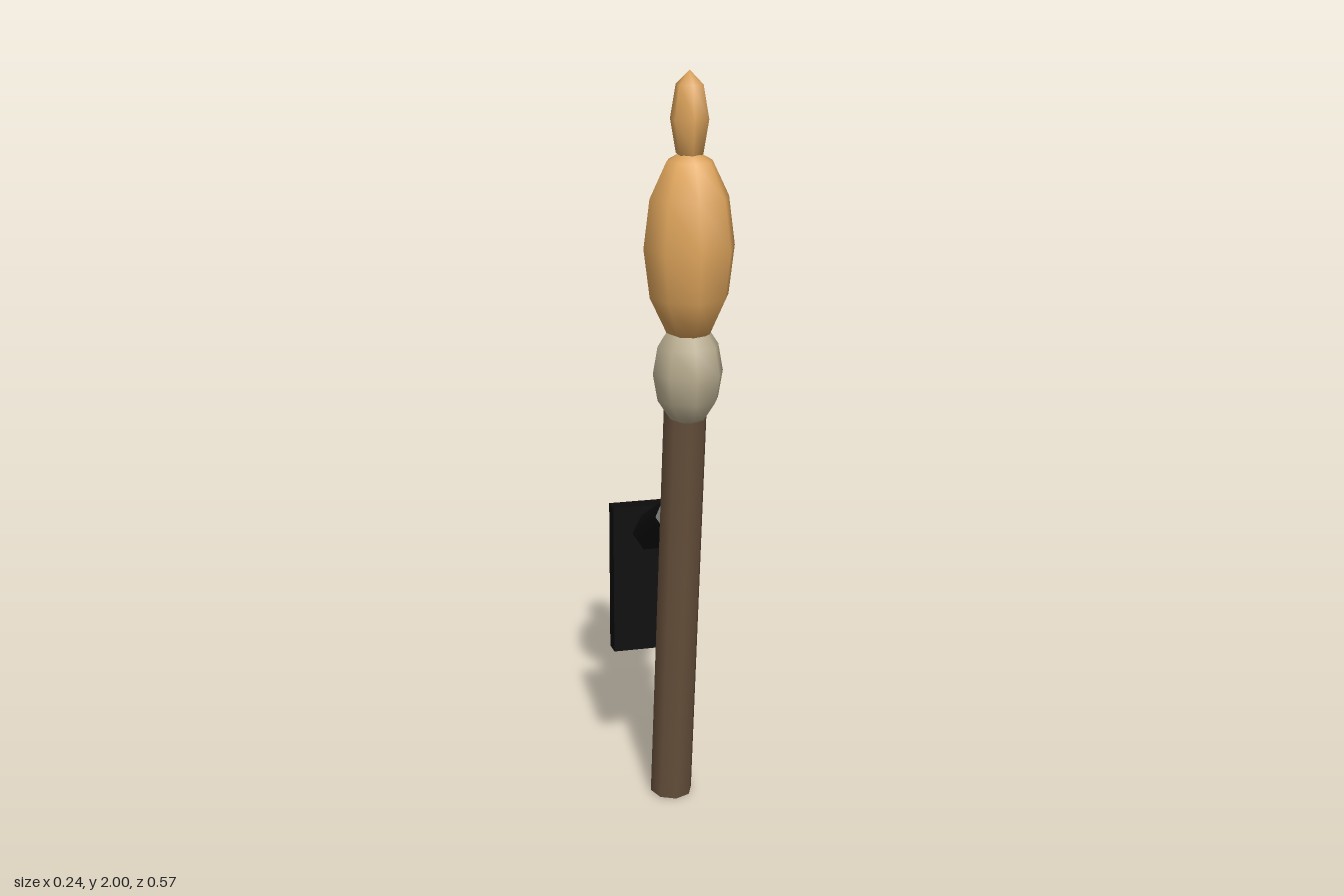
import * as THREE from 'three';

const mat = (name, color) => {
  const m = new THREE.MeshStandardMaterial({ color });
  m.name = name;
  return m;
};

export function createModel() {
  const wood = mat('dark wood', 0x69523d);
  const iron = mat('black iron', 0x0c0c0c);
  const ash = mat('pale wrap', 0xb9ad90);
  const flame = mat('flame orange', 0xdfa55c);
  const model = new THREE.Group();
  model.name = 'wallTorch';

  const add = (name, geometry, material) => {
    const mesh = new THREE.Mesh(geometry, material);
    mesh.name = name;
    model.add(mesh);
    return mesh;
  };

  // Straight rod between two points in the x = 0 plane, given as [y, z]
  const rod = (name, a, b, radius, sides, turn, material) => {
    const p = new THREE.Vector3(0, ...a), q = new THREE.Vector3(0, ...b);
    const dir = q.clone().sub(p);
    const geo = new THREE.CylinderGeometry(radius, radius, dir.length(), sides);
    geo.rotateY(turn);
    const mesh = add(name, geo, material);
    mesh.position.copy(p).add(q).multiplyScalar(0.5);
    mesh.rotation.x = Math.atan2(dir.z, dir.y);
  };

  // Low-poly stretched ball with a smooth surface
  const blob = (name, y, z, radius, halfHeight, sides, rings, turn, material) => {
    const geo = new THREE.SphereGeometry(1, sides, rings);
    geo.rotateY(turn);
    geo.scale(radius, halfHeight, radius);
    add(name, geo, material).position.set(0, y, z);
  };

  // Leaning handle
  rod('handle', [0.0075, -0.015], [1.156, 0.133], 0.057, 8, 0, wood);

  // Wall bracket: sloping arm and back plate
  rod('bracketArm', [0.68, -0.228], [0.81, 0.026], 0.053, 6, Math.PI / 2, iron);
  add('wallPlate', new THREE.BoxGeometry(0.21, 0.42, 0.05), iron).position.set(0, 0.545, -0.26);

  // Torch head and flame
  blob('wrappedHead', 1.235, 0.155, 0.092, 0.14, 8, 6, 0, ash);
  blob('flameBody', 1.56, 0.166, 0.118, 0.25, 8, 6, 0, flame);
  blob('flameTip', 1.88, 0.166, 0.05, 0.12, 6, 4, Math.PI / 2, flame);

  return model;
}
